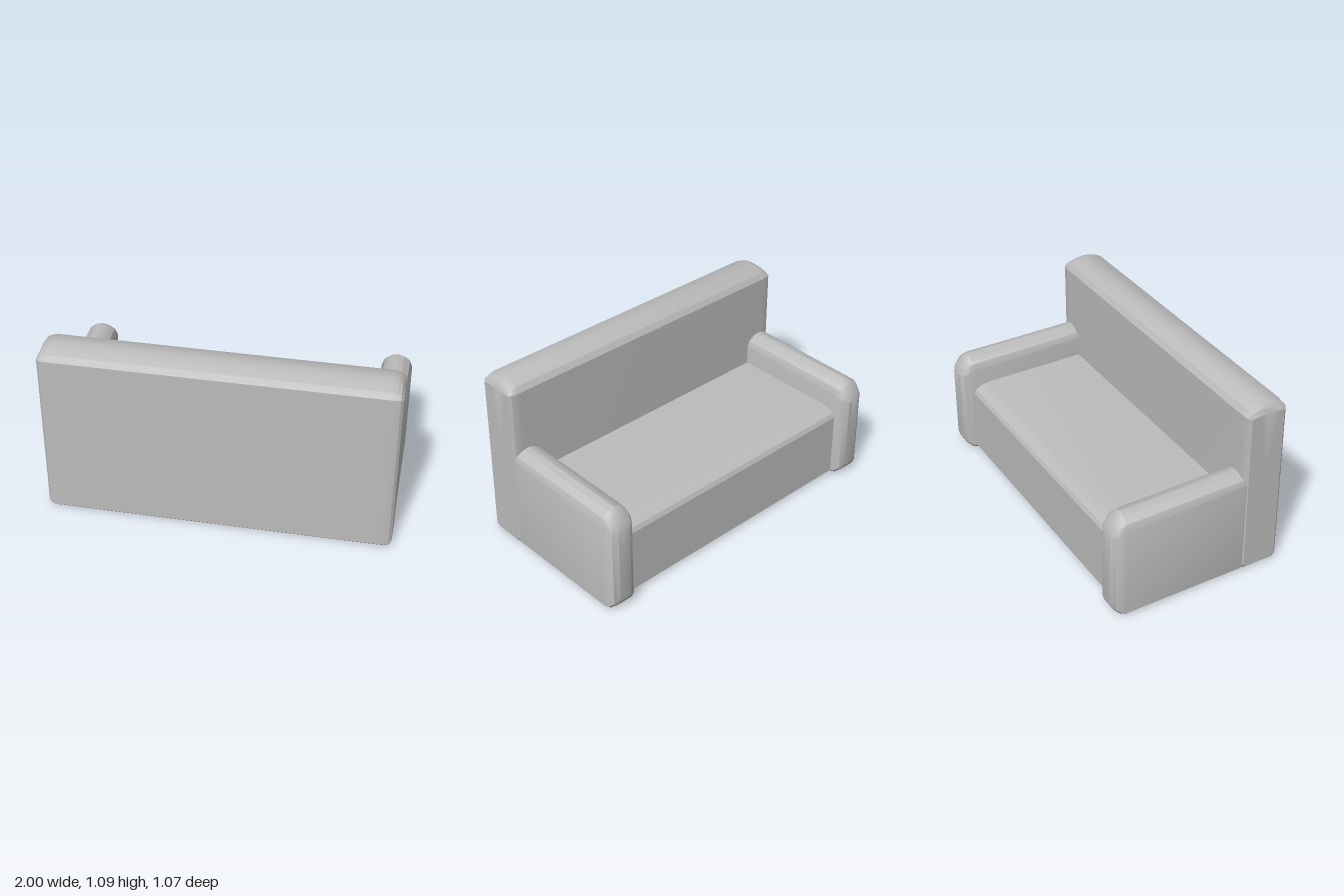
import * as THREE from 'three';
import { toCreasedNormals } from 'three/addons/utils/BufferGeometryUtils.js';

// Skin a closed solid over rings of equal point count, with fan caps.
function loft(rings) {
  const n = rings[0].length;
  const pos = rings.flat(2);
  const idx = [];
  for (let r = 0; r < rings.length - 1; r++) {
    for (let i = 0; i < n; i++) {
      const a = r * n + i, b = r * n + (i + 1) % n;
      idx.push(a, b, b + n, a, b + n, a + n);
    }
  }
  for (const [r, flip] of [[0, true], [rings.length - 1, false]]) {
    const ring = rings[r], c = pos.length / 3;
    pos.push(...[0, 1, 2].map(k => ring.reduce((s, p) => s + p[k], 0) / n));
    for (let i = 0; i < n; i++) {
      const a = r * n + i, b = r * n + (i + 1) % n;
      idx.push(c, ...(flip ? [b, a] : [a, b]));
    }
  }
  // Turn the faces outward if the enclosed volume comes out negative.
  const v = i => new THREE.Vector3().fromArray(pos, i * 3);
  let volume = 0;
  for (let i = 0; i < idx.length; i += 3) {
    volume += v(idx[i]).dot(v(idx[i + 1]).cross(v(idx[i + 2])));
  }
  if (volume < 0) idx.reverse();
  const g = new THREE.BufferGeometry();
  g.setAttribute('position', new THREE.Float32BufferAttribute(pos, 3));
  g.setIndex(idx);
  return toCreasedNormals(g, 0.45);
}

// Upright slab outline with a domed top: [across, up] pairs.
function domed(hw, y0, shoulder, top) {
  const h = top - shoulder, b = 0.018;
  return [
    [-hw + b, y0], [hw - b, y0], [hw, y0 + b], [hw, shoulder],
    [hw * 0.83, shoulder + h * 0.5], [hw * 0.4, shoulder + h * 0.88], [0, top],
    [-hw * 0.4, shoulder + h * 0.88], [-hw * 0.83, shoulder + h * 0.5],
    [-hw, shoulder], [-hw, y0 + b],
  ];
}

export function createModel() {
  const group = new THREE.Group();
  group.name = 'sofa';
  const upholstery = new THREE.MeshStandardMaterial({ color: 0xbbbbbb });
  upholstery.name = 'grey upholstery';
  const add = (name, geometry) => {
    const mesh = new THREE.Mesh(geometry, upholstery);
    mesh.name = name;
    group.add(mesh);
  };

  // Backrest: domed slab running along x, tapering slightly upward, softened ends
  const backEnds = [
    // x, half depth, bottom, shoulder, top
    [1.0, 0.103, 0.018, 1.015, 1.022],
    [0.985, 0.12, 0.004, 1.02, 1.055],
    [0.965, 0.126, 0, 1.02, 1.072],
    [0.93, 0.128, 0, 1.02, 1.085],
  ];
  const backRings = [
    ...backEnds.map(([x, ...s]) => [-x, ...s]),
    ...[...backEnds].reverse(),
  ].map(([x, ...s]) => domed(...s).map(([d, y]) => [x, y, 0.404 + d - 0.008 * (y - 0.5)]));
  add('backrest', loft(backRings));

  // Arms: domed slabs running along z, rounded at the free end
  const armSections = [
    // z, half width, bottom, shoulder, top
    [-0.53, 0.04, 0.07, 0.525, 0.54],
    [-0.512, 0.07, 0.035, 0.54, 0.582],
    [-0.48, 0.086, 0.008, 0.56, 0.628],
    [-0.45, 0.09, 0, 0.568, 0.65],
    [0.285, 0.09, 0, 0.585, 0.65],
    [0.31, 0.082, 0.006, 0.57, 0.605],
  ];
  for (const [name, side] of [['leftArm', 1], ['rightArm', -1]]) {
    add(name, loft(armSections.map(([z, ...s]) =>
      domed(...s).map(([d, y]) => [side * (0.907 + d), y, z]))));
  }

  // Seat: solid block with a rolled lip, ends tucked into the arms
  const seatProfile = [
    [-0.445, 0.003], [-0.46, 0.02], [-0.46, 0.41], [-0.447, 0.435],
    [-0.415, 0.455], [-0.36, 0.465], [0.33, 0.465], [0.33, 0.003],
  ];
  add('seat', loft([-0.86, 0.86].map(x => seatProfile.map(([z, y]) => [x, y, z]))));

  return group;
}
